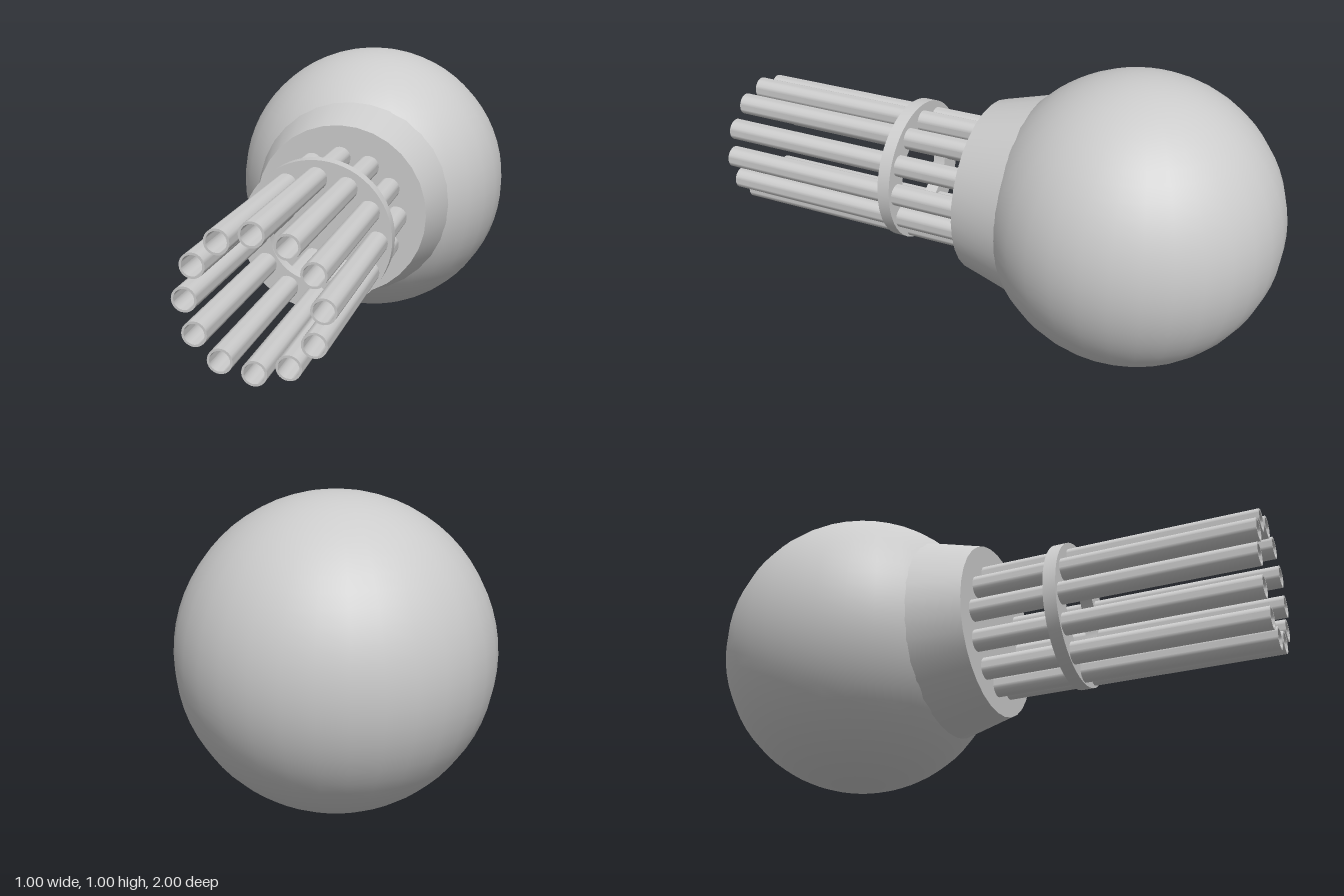
import * as THREE from 'three';
import { toCreasedNormals } from 'three/addons/utils/BufferGeometryUtils.js';

const material = new THREE.MeshStandardMaterial({ color: 0xcccccc });

function addMesh(parent, name, geometry, y, z) {
  const mesh = new THREE.Mesh(geometry, material);
  mesh.name = name;
  mesh.position.set(0, y, z);
  parent.add(mesh);
  return mesh;
}

// Hollow tube along z with square ends, running from z = 0 to z = length
function tubeGeometry(outer, inner, length, segments) {
  const profile = [[inner, 0], [outer, 0], [outer, length], [inner, length], [inner, 0]]
    .map(([r, h]) => new THREE.Vector2(r, h));
  const geometry = new THREE.LatheGeometry(profile, segments).rotateX(Math.PI / 2);
  return toCreasedNormals(geometry, 0.7);
}

export function createModel() {
  const model = new THREE.Group();
  model.name = 'rotaryGun';

  // Round turret body
  addMesh(model, 'ballBody', new THREE.SphereGeometry(0.5, 32, 32), 0.5, -0.5);

  // Tapered collar, sunk into the ball
  const collar = new THREE.CylinderGeometry(0.305, 0.365, 0.225, 32).rotateX(Math.PI / 2);
  addMesh(model, 'collar', collar, 0.5, -0.0775);

  // Ring of twelve hollow barrels
  const barrels = new THREE.Group();
  barrels.name = 'barrels';
  barrels.position.set(0, 0.492, 0.03);
  model.add(barrels);
  const count = 12;
  const barrelGeometry = tubeGeometry(0.038, 0.031, 0.97, 24);
  for (let i = 0; i < count; i++) {
    const angle = (i / count) * Math.PI * 2;
    const barrel = addMesh(barrels, 'barrel', barrelGeometry, Math.sin(angle) * 0.2, 0);
    barrel.position.x = Math.cos(angle) * 0.2;
  }

  // Flat clamp ring holding the barrels together
  addMesh(model, 'clampRing', tubeGeometry(0.252, 0.157, 0.045, 64), 0.501, 0.305);

  return model;
}
